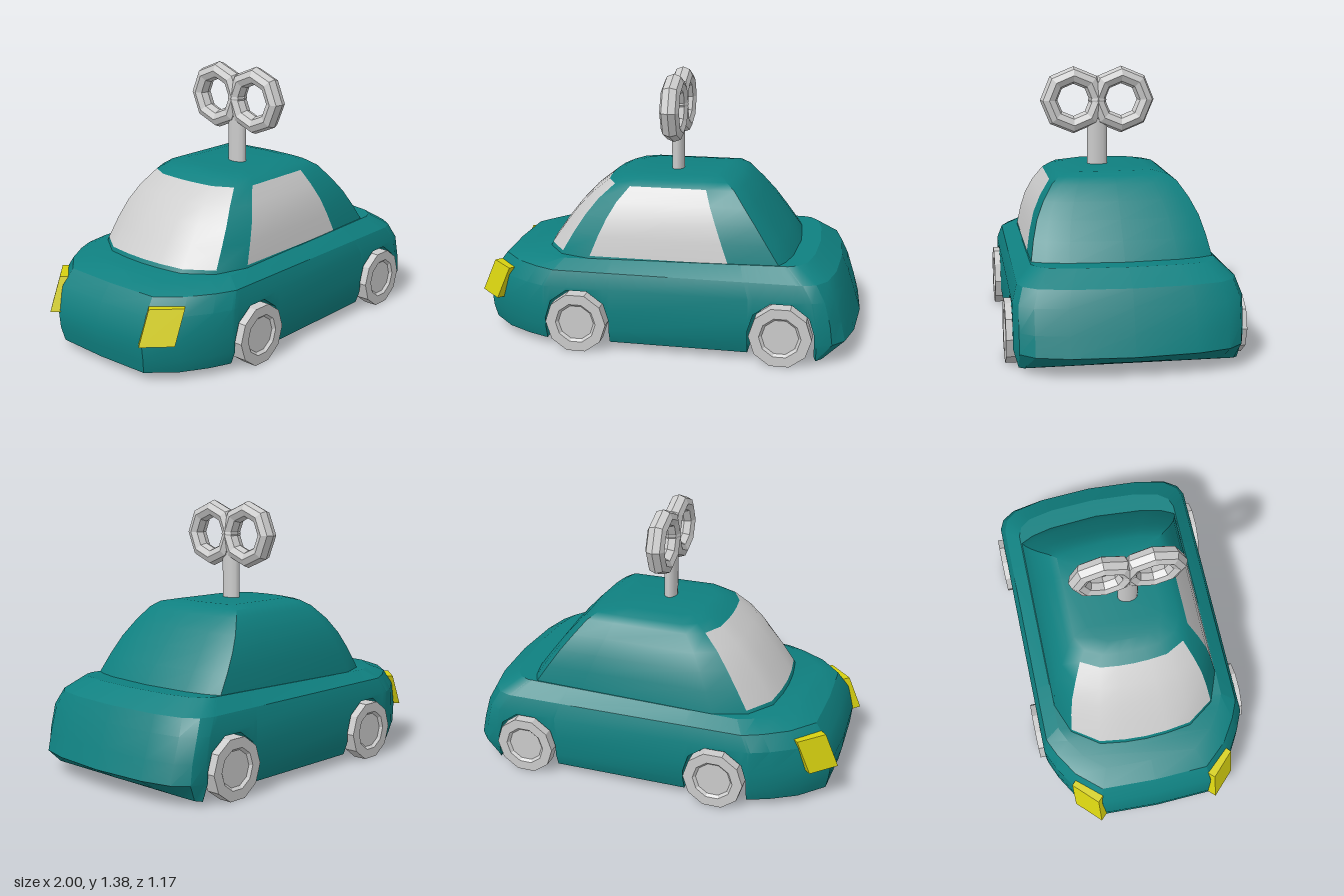
import * as THREE from 'three';
import { toCreasedNormals } from 'three/addons/utils/BufferGeometryUtils.js';

const teal = new THREE.MeshStandardMaterial({ color: 0x0f8080 });
const grey = new THREE.MeshStandardMaterial({ color: 0xcccccc });
const greyFlat = new THREE.MeshStandardMaterial({ color: 0xcccccc, flatShading: true });
const yellow = new THREE.MeshStandardMaterial({ color: 0xd6d010, flatShading: true });

function add(parent, name, geometry, material) {
  const mesh = new THREE.Mesh(geometry, material);
  mesh.name = name;
  parent.add(mesh);
  return mesh;
}

// Half outline (nose to tail on +z) mirrored into a closed ring
function closeRing(half) {
  const back = half.slice(1, -1).reverse().map(([x, y, z]) => [x, y, -z]);
  return [...half, ...back];
}

// Skin stacked rings; pick(level, segment) chooses the wall quads to keep
function loft(rings, pick, caps, crease) {
  const pos = [];
  const quad = (a, b, c, d) => pos.push(...a, ...b, ...c, ...a, ...c, ...d);
  const n = rings[0].length;
  for (let l = 0; l < rings.length - 1; l++) {
    for (let i = 0; i < n; i++) {
      const j = (i + 1) % n;
      if (pick(l, i)) quad(rings[l][i], rings[l][j], rings[l + 1][j], rings[l + 1][i]);
    }
  }
  if (caps) {
    const lo = rings[0], hi = rings[rings.length - 1];
    for (let i = 0; i < n / 2; i++) {
      const p = (n - i) % n, q = n - i - 1;
      quad(hi[i], hi[i + 1], hi[q], hi[p]);
      quad(lo[p], lo[q], lo[i + 1], lo[i]);
    }
  }
  const g = new THREE.BufferGeometry();
  g.setAttribute('position', new THREE.Float32BufferAttribute(pos, 3));
  return toCreasedNormals(g, crease);
}

const axles = [-0.415, 0.627];

// Lower body: plan outlines stacked upward, the lowest edge following the wheel arches
function bodyGeometry() {
  const arch = (c) => [[-0.166, 0.04], [-0.17, 0.15], [-0.139, 0.251], [-0.053, 0.314],
    [0.053, 0.314], [0.139, 0.251], [0.17, 0.15], [0.166, 0.04]].map(([x, y]) => [c + x, 0.555, y]);
  const plan = [ // x, z, height of the lower edge
    [-0.98, 0, 0.04], [-0.968, 0.3, 0.04], [-0.84, 0.43, 0.04], [-0.7, 0.51, 0.04], [-0.6, 0.55, 0.04],
    ...arch(axles[0]), ...arch(axles[1]),
    [0.805, 0.555, 0.02], [0.88, 0.53, 0.025], [0.94, 0.46, 0.035], [0.98, 0.3, 0.045], [1, 0, 0.045],
  ];
  const levels = [ // y, half width, nose x, tail x, nose pivot, tail pivot
    [0, 0.53, -0.95, 0.88, -0.59, 0.8],
    [0.11, 0.555, -0.965, 1.0, -0.59, 0.8],
    [0.21, 0.555, -0.975, 0.97, -0.59, 0.8],
    [0.33, 0.555, -0.94, 0.93, -0.59, 0.7],
    [0.41, 0.53, -0.88, 0.895, -0.3, 0.3],
    [0.465, 0.455, -0.78, 0.78, -0.3, 0.3],
  ];
  const rings = levels.map(([y, w, nose, tail, pn, pt], l) => closeRing(plan.map(([x, z, low]) => {
    let px = x;
    if (x < pn) px = pn + (x - pn) * (nose - pn) / (-0.98 - pn);
    if (x > pt) px = pt + (x - pt) * (tail - pt) / (1 - pt);
    const wide = low > 0.1 && l === 0 ? 0.555 : w;
    const tilt = l === 5 ? 0.018 * px / 0.8 : 0;
    return [px, Math.max(y, low) + tilt, z * wide / 0.555];
  })));
  return loft(rings, () => true, true, 0.45);
}

// Cabin: one tapering loft, split into shell, windscreen and side window
function buildCabin(parent) {
  const plan = [[0, 0], [0.004, 0.25], [0.018, 0.55], [0.09, 0.86], [0.21, 1],
    [0.745, 1], [0.94, 1], [0.965, 0.85], [0.985, 0.6], [1, 0]];
  const levels = [ // y, half width, front x, rear x
    [0.43, 0.455, -0.67, 0.7], [0.47, 0.45, -0.65, 0.685], [0.57, 0.432, -0.58, 0.61],
    [0.66, 0.408, -0.51, 0.54], [0.74, 0.37, -0.435, 0.47], [0.815, 0.32, -0.34, 0.4],
    [0.845, 0.28, -0.28, 0.35], [0.86, 0.2, -0.22, 0.28],
  ];
  const rings = levels.map(([y, w, f, r]) =>
    closeRing(plan.map(([a, b]) => [f + a * (r - f), y, b * w])));
  const n = rings[0].length;
  const glazed = (l) => l >= 1 && l < 5;
  const screen = (l, i) => glazed(l) && (i < 3 || i >= n - 3);
  const side = (l, i) => glazed(l) && i === 4;
  add(parent, 'cabin', loft(rings, (l, i) => !screen(l, i) && !side(l, i), true, 0.6), teal);
  add(parent, 'windscreen', loft(rings, screen, false, 0.6), grey);
  add(parent, 'sideWindow', loft(rings, side, false, 0.6), grey);
}

// Ten-sided wheel with a shallow recessed hub, outer face towards +z
function wheelGeometry() {
  const profile = [[0, -0.036], [0.157, -0.036], [0.157, 0.036], [0.105, 0.036], [0.092, 0.022], [0, 0.022]];
  const g = new THREE.LatheGeometry(profile.map(([r, y]) => new THREE.Vector2(r, y)), 10, Math.PI / 2);
  return g.rotateX(Math.PI / 2);
}

// Lamp block turned to the corner and leaning back with height
function lampGeometry(s) {
  const g = new THREE.BoxGeometry(0.17, 0.17, 0.055).rotateY(-s * Math.PI / 4);
  const p = g.attributes.position;
  for (let i = 0; i < p.count; i++) p.setX(i, p.getX(i) + p.getY(i) * 0.42);
  g.computeVertexNormals();
  return g;
}

export function createModel() {
  const car = new THREE.Group();
  car.name = 'windUpCar';
  add(car, 'body', bodyGeometry(), teal);
  buildCabin(car);

  for (const s of [1, -1]) {
    for (const x of axles) {
      const wheel = add(car, 'wheel', wheelGeometry(), greyFlat);
      wheel.position.set(x, 0.15, s * 0.55);
      if (s < 0) wheel.rotation.y = Math.PI;
    }
    add(car, 'headlight', lampGeometry(s), yellow).position.set(-0.885, 0.287, s * 0.362);
  }

  // Winding key: oval stem and two faceted loops
  const key = new THREE.Group();
  key.name = 'windingKey';
  key.position.set(0.017, 0, 0.0425);
  car.add(key);
  const stem = add(key, 'keyStem', new THREE.CylinderGeometry(0.054, 0.054, 0.28, 12), grey);
  stem.scale.x = 0.63;
  stem.position.y = 0.96;
  for (const s of [1, -1]) {
    const loop = add(key, 'keyLoop', new THREE.TorusGeometry(0.131, 0.046, 8, 8).scale(1, 1, 1.1), greyFlat);
    loop.rotation.y = Math.PI / 2;
    loop.position.set(0, 1.2, s * 0.127);
  }
  return car;
}
